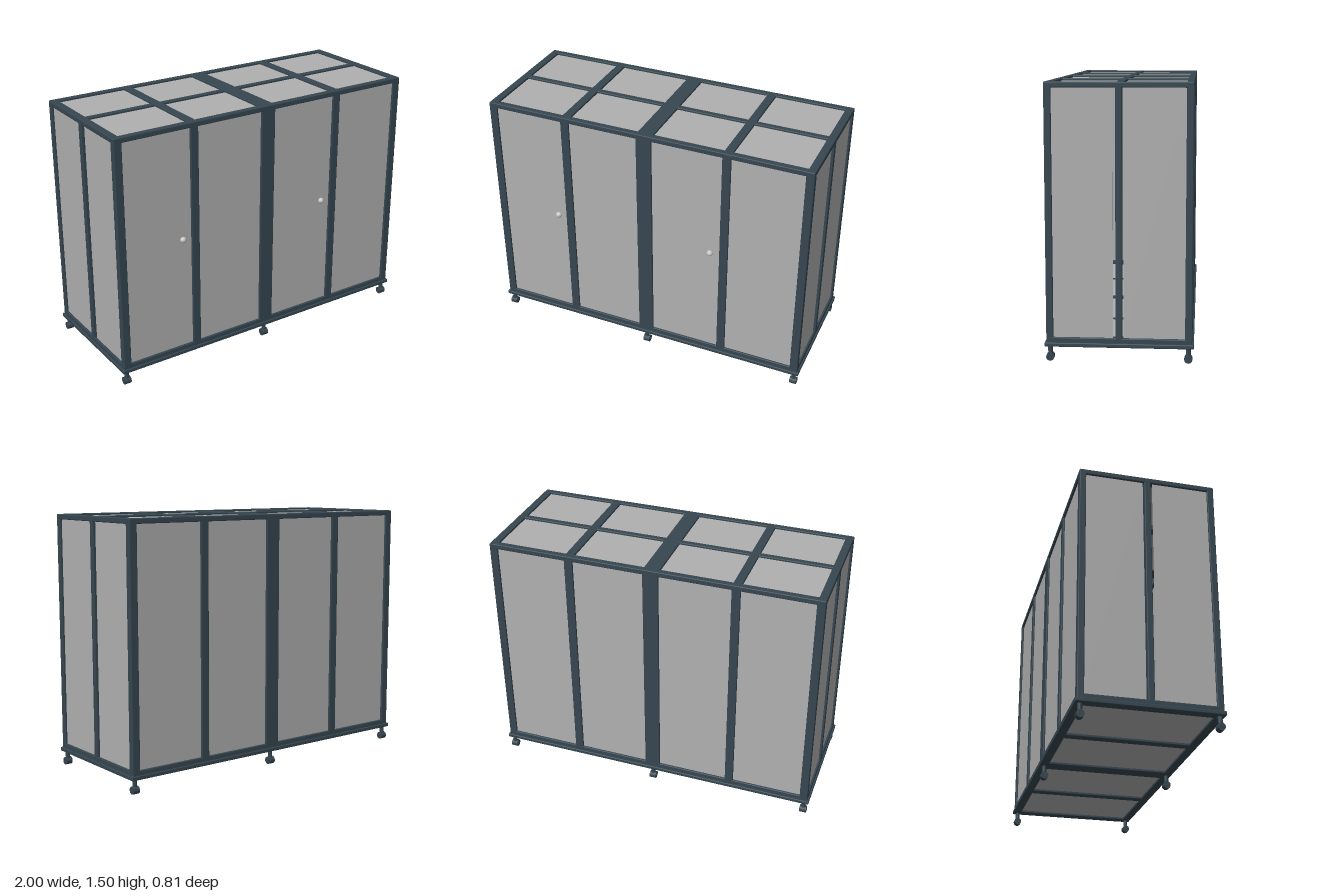
import * as THREE from 'three';
import { RoundedBoxGeometry } from 'three/addons/geometries/RoundedBoxGeometry.js';

export function createModel() {
  const model = new THREE.Group();
  model.name = 'rollingCabinet';
  const frameMat = new THREE.MeshStandardMaterial({ name: 'slate frame', color: 0x364650 });
  const panelMat = new THREE.MeshStandardMaterial({ name: 'grey panel', color: 0xb0b0b0 });
  const knobMat = new THREE.MeshStandardMaterial({ name: 'pale knob', color: 0xc8c8c8 });

  const add = (name, geometry, material, x, y, z, parent = model) => {
    const mesh = new THREE.Mesh(geometry, material);
    mesh.name = name;
    mesh.position.set(x, y, z);
    parent.add(mesh);
    return mesh;
  };
  // Boxes given by their [min, max] extent on each axis
  const span = (name, make, material, [x0, x1], [y0, y1], [z0, z1]) =>
    add(name, make(x1 - x0, y1 - y0, z1 - z0), material, (x0 + x1) / 2, (y0 + y1) / 2, (z0 + z1) / 2);
  const bar = (name, x, y, z) =>
    span(name, (w, h, d) => new RoundedBoxGeometry(w, h, d, 2, 0.005), frameMat, x, y, z);
  const panel = (name, x, y, z) =>
    span(name, (w, h, d) => new THREE.BoxGeometry(w, h, d), panelMat, x, y, z);
  const mirror = ([a, b], s) => (s > 0 ? [a, b] : [-b, -a]);

  const W = 0.99, D = 0.393, TOP = 1.503, BOTTOM = 0.1;
  const height = [BOTTOM, TOP];
  const posts = [[-W, -0.942], [-0.522, -0.471], [-0.047, 0.047], [0.471, 0.522], [0.942, W]];
  const bays = [[-0.946, -0.518], [-0.475, -0.043], [0.043, 0.475], [0.518, 0.946]];

  // Front and back: posts, rails and door panels
  for (const s of [1, -1]) {
    const face = s > 0 ? 'front' : 'back';
    const depth = mirror([0.355, D], s);
    for (const x of posts) bar(face + 'Post', x, height, depth);
    bar(face + 'TopRail', [-W, W], [1.473, TOP], depth);
    bar(face + 'BottomRail', [-W, W], [BOTTOM, 0.132], depth);
    for (const x of bays) panel(face + 'Panel', x, [0.128, 1.478], mirror([0.371, 0.381], s));
  }

  // Ends: rails, middle post and two panels with a narrow gap beside the post
  for (const s of [1, -1]) {
    const side = s > 0 ? 'left' : 'right';
    const x = mirror([0.945, W], s);
    bar(side + 'TopRail', x, [1.473, TOP], [-D, D]);
    bar(side + 'BottomRail', x, [BOTTOM, 0.132], [-D, D]);
    bar(side + 'MiddlePost', x, height, [-0.018, 0.018]);
    const px = mirror([0.968, 0.978], s);
    panel(side + 'FrontPanel', px, [0.128, 1.478], [0.032, 0.36]);
    panel(side + 'BackPanel', px, [0.128, 1.478], [-0.36, -0.025]);
  }

  // Roof: cross bars, ridge bar and eight panels
  for (const x of posts.slice(1, 4)) bar('roofCrossBar', x, [1.473, TOP], [-D, D]);
  bar('roofRidgeBar', [-W, W], [1.473, TOP], [-0.019, 0.016]);
  for (const x of bays) {
    for (const z of [[-0.36, -0.016], [0.013, 0.36]]) panel('roofPanel', x, [1.481, 1.491], z);
  }

  // Base: projecting rim, cross bars and floor panels
  const baseY = [0.082, 0.105];
  for (const s of [1, -1]) {
    bar('baseLongRail', [-1, 1], baseY, mirror([0.352, 0.402], s));
    bar('baseEndRail', mirror([0.942, 1], s), baseY, [-0.402, 0.402]);
  }
  for (const x of posts.slice(1, 4)) bar('baseCrossBar', x, baseY, [-0.36, 0.36]);
  for (const x of bays) panel('floorPanel', x, [0.096, 0.106], [-0.36, 0.36]);

  // Six castors
  const wheel = new THREE.CylinderGeometry(0.022, 0.022, 0.04, 20).rotateZ(Math.PI / 2);
  const hub = new THREE.CylinderGeometry(0.009, 0.009, 0.046, 12).rotateZ(Math.PI / 2);
  const stem = new THREE.CylinderGeometry(0.013, 0.013, 0.06, 16);
  for (const x of [-0.968, 0, 0.968]) {
    for (const z of [-0.373, 0.373]) {
      const castor = new THREE.Group();
      castor.name = 'castor';
      castor.position.set(x, 0, z);
      model.add(castor);
      add('castorWheel', wheel, frameMat, 0, 0.022, 0, castor);
      add('castorHub', hub, frameMat, 0, 0.022, 0, castor);
      add('castorStem', stem, frameMat, 0, 0.06, 0, castor);
    }
  }

  // Door knobs
  const knob = new THREE.SphereGeometry(0.018, 20, 14);
  for (const x of [-0.578, 0.411]) add('doorKnob', knob, knobMat, x, 0.815, 0.385);

  return model;
}
